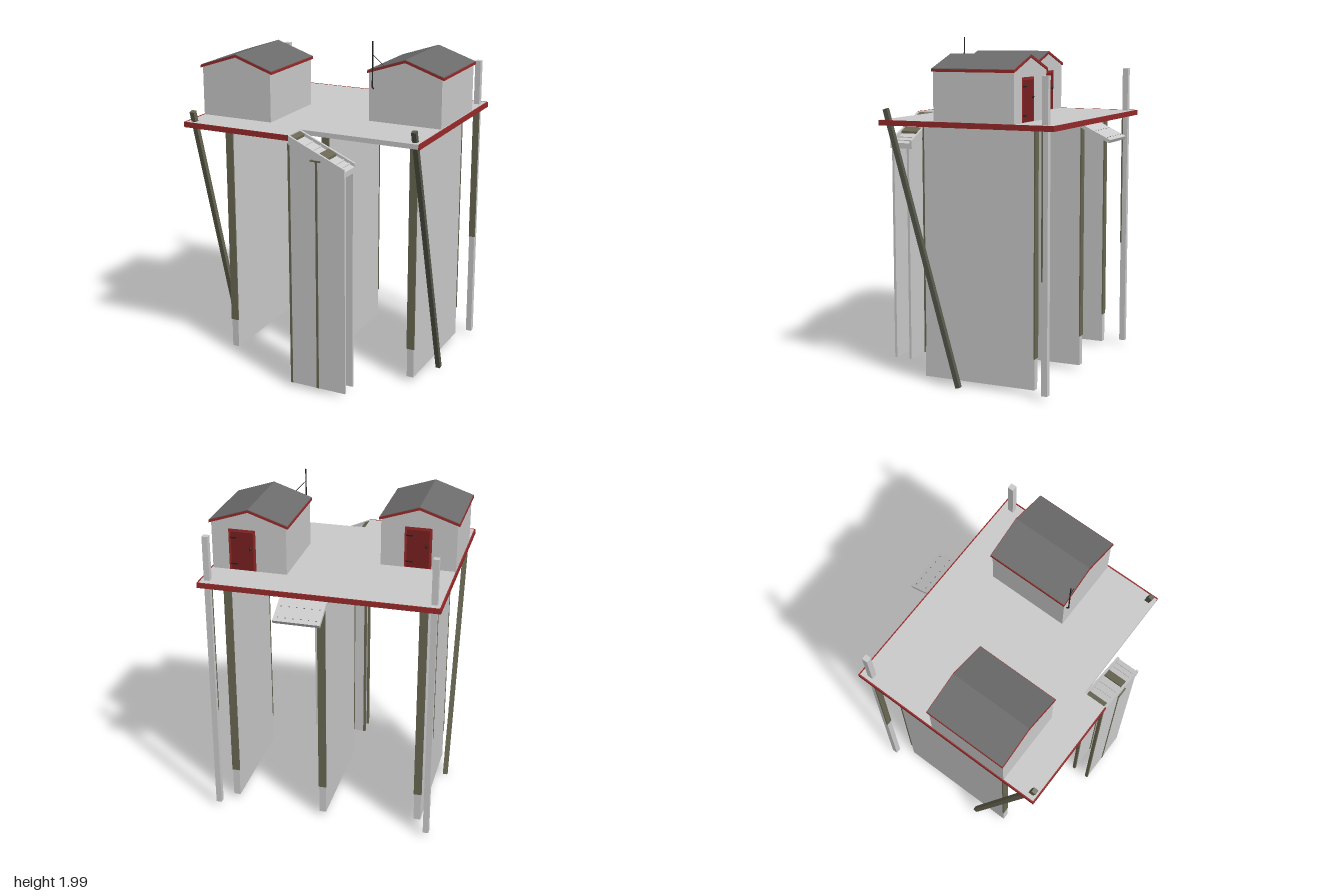
import * as THREE from 'three';

const mat = (color) => new THREE.MeshStandardMaterial({ color, flatShading: true });

export function createModel() {
  const root = new THREE.Group();
  const grey = mat(0xcccccc), red = mat(0x992a2a), roofGrey = mat(0x6c6c6c);
  const olive = mat(0x6a6853), darkOlive = mat(0x55584a), black = mat(0x222222);

  const add = (name, geo, material, parent = root) => {
    const m = new THREE.Mesh(geo, material);
    m.name = name;
    parent.add(m);
    return m;
  };
  // Box given by its limits on each axis
  const box = (name, [x0, x1], [y0, y1], [z0, z1], material = grey, parent = root) => {
    const m = add(name, new THREE.BoxGeometry(x1 - x0, y1 - y0, z1 - z0), material, parent);
    m.position.set((x0 + x1) / 2, (y0 + y1) / 2, (z0 + z1) / 2);
    return m;
  };
  // Outline in x/y pushed from z0 to z1
  const prism = (name, pts, z0, z1, material = grey, parent = root) => {
    const shape = new THREE.Shape(pts.map(([x, y]) => new THREE.Vector2(x, y)));
    const geo = new THREE.ExtrudeGeometry(shape, { depth: z1 - z0, bevelEnabled: false });
    geo.translate(0, 0, z0);
    return add(name, geo, material, parent);
  };
  // Square bar or round rod between two points
  const bar = (name, a, b, w, material, sides = 4, d = w) => {
    const A = new THREE.Vector3(...a), B = new THREE.Vector3(...b);
    const dir = B.clone().sub(A);
    const geo = sides === 4
      ? new THREE.BoxGeometry(w, dir.length(), d)
      : new THREE.CylinderGeometry(w, w, dir.length(), sides);
    const m = add(name, geo, material);
    m.position.copy(A).add(B).multiplyScalar(0.5);
    m.quaternion.setFromUnitVectors(new THREE.Vector3(0, 1, 0), dir.normalize());
    return m;
  };

  // Deck with a notch at the front for the ramp
  const deck = prism('deck', [
    [-0.69, -0.67], [-0.02, -0.67], [-0.02, -0.53], [0.69, -0.53], [0.69, 0.54], [-0.69, 0.54],
  ], 1.507, 1.535);
  deck.geometry.rotateX(-Math.PI / 2);
  const trimY = [1.505, 1.536];
  box('deckTrimFront', [-0.697, -0.02], trimY, [0.669, 0.676], red);
  box('deckTrimBack', [-0.697, 0.697], trimY, [-0.545, -0.538], red);
  box('deckTrimRight', [-0.697, -0.689], trimY, [-0.545, 0.676], red);
  box('deckTrimLeft', [0.689, 0.697], trimY, [-0.545, 0.53], red);

  // Support walls with olive posts on their ends
  for (const [x, z0, z1] of [[0.57, -0.39, 0.3], [0, -0.44, 0.27], [-0.575, -0.375, 0.39]]) {
    box('supportWall', [x - 0.021, x + 0.021], [0.035, 1.507], [z0, z1]);
    for (const z of [z0, z1]) {
      box('wallEndPost', [x - 0.024, x + 0.024], [0.215, 1.506], [z - 0.004, z + 0.004], olive);
    }
  }

  // Upright back posts and leaning front struts
  for (const x of [-0.652, 0.652]) {
    box('backPost', [x - 0.017, x + 0.017], [0.035, 1.8], [-0.5, -0.465]);
    box('backPostStrip', [x - 0.019, x + 0.019], [0.68, 1.506], [-0.472, -0.463], olive);
  }
  bar('leftStrut', [0.655, 0.012, 0.055], [0.655, 1.597, 0.507], 0.028, darkOlive);
  bar('rightStrut', [-0.65, 0.012, 0.2], [-0.65, 1.597, 0.652], 0.028, olive);

  // Huts: gabled body, red-edged roof, back door
  const makeHut = (cx, z0, z1, doorX) => {
    const hut = new THREE.Group();
    hut.name = 'hut';
    root.add(hut);
    prism('hutWalls', [
      [cx - 0.222, 1.535], [cx + 0.222, 1.535], [cx + 0.222, 1.823], [cx, 1.895], [cx - 0.222, 1.823],
    ], z0 + 0.006, z1 - 0.006, grey, hut);
    const chevron = (w, y, t) => {
      const e = y - w * 0.335;
      return [[cx - w, e - t], [cx, y - t], [cx + w, e - t], [cx + w, e], [cx, y], [cx - w, e]];
    };
    prism('roofEdge', chevron(0.234, 1.906, 0.015), z0, z1, red, hut);
    prism('roof', chevron(0.231, 1.909, 0.006), z0 + 0.003, z1 - 0.003, roofGrey, hut);
    const zb = z0 + 0.006;
    const frame = [doorX - 0.08, doorX + 0.08];
    box('doorFrame', frame, [1.537, 1.785], [zb - 0.003, zb], red, hut);
    box('door', [frame[0] + 0.014, frame[1] - 0.014], [1.54, 1.77], [zb - 0.006, zb], mat(0x7a2020), hut);
    for (const y of [1.57, 1.73]) {
      box('hinge', [doorX + 0.03, doorX + 0.07], [y, y + 0.008], [zb - 0.008, zb], black, hut);
    }
    const knob = add('doorKnob', new THREE.SphereGeometry(0.009, 8, 6), black, hut);
    knob.position.set(doorX - 0.05, 1.675, zb - 0.009);
  };
  makeHut(0.46, -0.313, 0.192, 0.5);
  makeHut(-0.468, -0.03, 0.475, -0.465);

  // Antenna on the left hut
  bar('antennaMast', [0.265, 1.735, 0.2], [0.265, 2, 0.2], 0.004, black, 6);
  bar('antennaFoot', [0.265, 1.725, 0.187], [0.265, 1.74, 0.2], 0.004, black, 6);
  bar('antennaBrace', [0.265, 1.925, 0.2], [0.327, 1.862, 0.182], 0.002, black, 6);

  // Front ramp: sloped deck between two curbs
  const slope = (x) => 1.535 - (x + 0.02) * 0.44;
  const sloped = (x0, x1, top, bottom) => [
    [x0, slope(x0) - bottom], [x1, slope(x1) - bottom], [x1, slope(x1) - top], [x0, slope(x0) - top],
  ];
  prism('rampDeck', sloped(-0.02, 0.32, 0.018, 0.05), 0.545, 0.66);
  for (const z of [0.53, 0.662]) prism('rampCurb', sloped(-0.02, 0.32, 0, 0.05), z, z + 0.014);
  for (const [x0, x1] of [[-0.018, 0.012], [0.16, 0.21]]) {
    prism('rampPlate', sloped(x0, x1, 0.004, 0.03), 0.535, 0.672, olive);
  }
  for (const x of [0.06, 0.11, 0.25, 0.285]) prism('rampCleat', sloped(x, x + 0.008, 0.013, 0.03), 0.545, 0.66);
  box('rampBracket', [0.115, 0.18], [1.408, 1.416], [0.535, 0.684], olive);

  // Two thin walls carrying the ramp
  for (const z of [0.55, 0.651]) {
    prism('rampWall', [[-0.03, 0.035], [0.32, 0.035], [0.32, 1.34], [-0.03, 1.494]], z, z + 0.015);
    for (const x of [-0.031, 0.139]) {
      box('rampWallStrip', [x, x + 0.014], [0.035, slope(x + 0.014) - 0.045], [z - 0.002, z + 0.017], olive);
    }
  }

  // Back ramp, a studded plate tilted downwards
  const backRamp = new THREE.Group();
  backRamp.name = 'backRamp';
  backRamp.position.set(0.075, 1.515, -0.5);
  backRamp.rotation.x = -0.45;
  root.add(backRamp);
  box('backRampPlate', [-0.135, 0.135], [-0.018, 0.002], [-0.208, 0.005], grey, backRamp);
  for (let i = 0; i < 6; i++) {
    for (const z of [-0.18, -0.1]) {
      const x = -0.11 + i * 0.044;
      box('stud', [x - 0.003, x + 0.003], [0, 0.004], [z - 0.003, z + 0.003], roofGrey, backRamp);
    }
  }
  return root;
}
